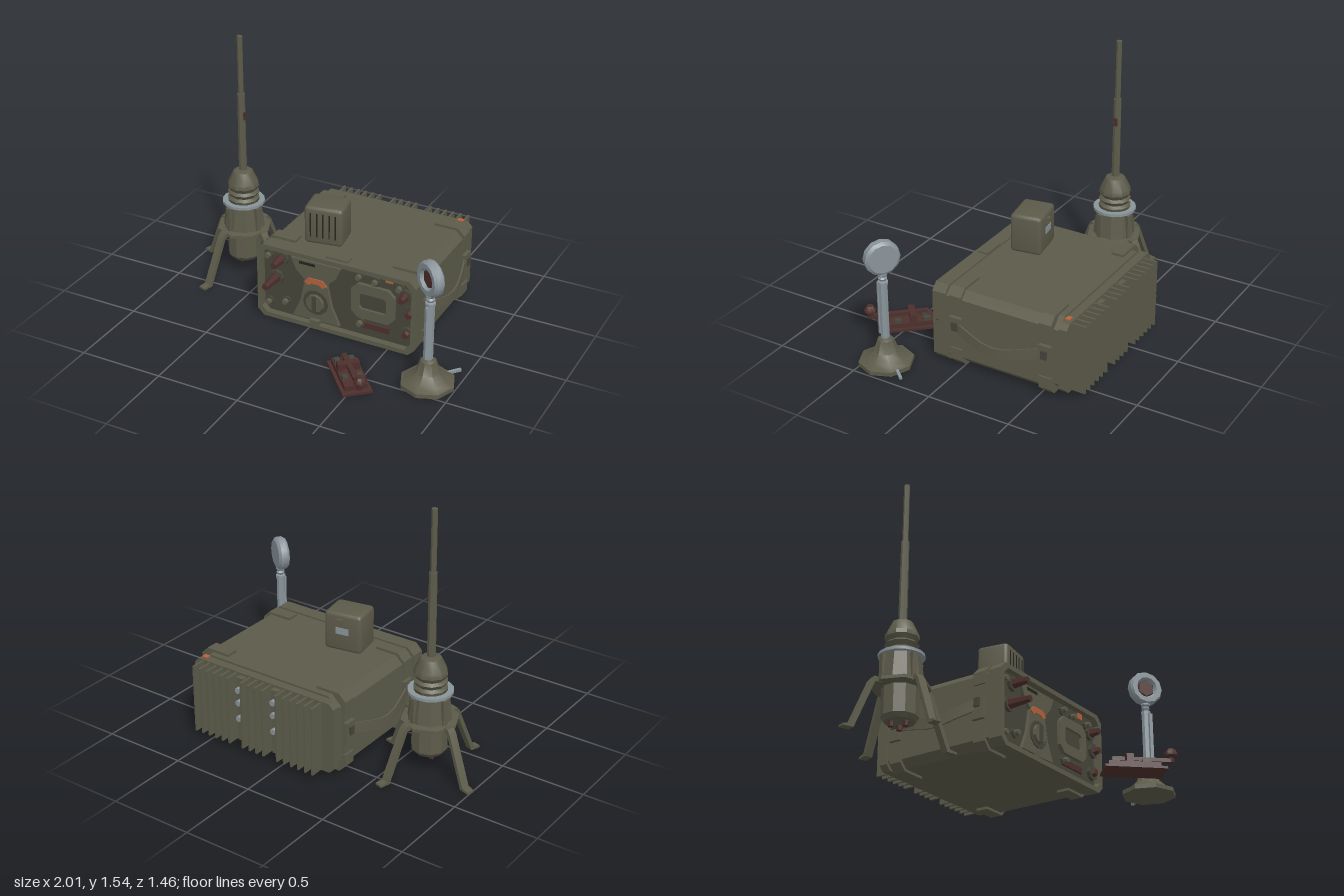
import * as THREE from 'three';
import { toCreasedNormals } from 'three/addons/utils/BufferGeometryUtils.js';
import { RoundedBoxGeometry } from 'three/addons/geometries/RoundedBoxGeometry.js';

const paint = (name, color) => {
  const m = new THREE.MeshStandardMaterial({ color });
  m.name = name;
  return m;
};

export function createModel() {
  const olive = paint('olive', 0x5c5b4a);
  const dark = paint('darkOlive', 0x46453a);
  const brown = paint('redBrown', 0x4c2f2c);
  const grey = paint('steelGrey', 0x89949a);
  const orange = paint('orange', 0xb4623c);
  const black = paint('black', 0x25251f);

  const model = new THREE.Group();
  model.name = 'fieldRadioSet';
  const group = (name, x, y, z, ry = 0) => {
    const g = new THREE.Group();
    g.name = name;
    g.position.set(x, y, z);
    g.rotation.y = ry;
    model.add(g);
    return g;
  };
  const add = (parent, name, geo, mat, x = 0, y = 0, z = 0) => {
    const m = new THREE.Mesh(toCreasedNormals(geo, 0.6), mat);
    m.name = name;
    m.position.set(x, y, z);
    parent.add(m);
    return m;
  };
  const box = (parent, name, mat, w, h, d, x, y, z) => add(parent, name, new THREE.BoxGeometry(w, h, d), mat, x, y, z);
  const lathe = (parent, name, mat, pts, sides, x = 0, y = 0, z = 0) =>
    add(parent, name, new THREE.LatheGeometry(pts.map(p => new THREE.Vector2(p[0], p[1])), sides), mat, x, y, z);
  const poly = pts => new THREE.Shape(pts.map(p => new THREE.Vector2(p[0], p[1])));
  const chamfered = (w, h, c) => {
    const a = w / 2, b = h / 2;
    return poly([[-a + c, -b], [a - c, -b], [a, -b + c], [a, b - c], [a - c, b], [-a + c, b], [-a, b - c], [-a, -b + c]]);
  };
  const extrude = (shape, depth) => new THREE.ExtrudeGeometry(shape, { depth, bevelEnabled: false });

  // Radio housing, centred on its own cross-section
  const radio = group('radio', 0.167, 0.248, 0);
  add(radio, 'housing', extrude(chamfered(0.985, 0.455, 0.045), 0.67), olive, 0, 0, -0.56);
  const rim = chamfered(1.005, 0.475, 0.04);
  rim.holes.push(chamfered(0.95, 0.42, 0.035));
  add(radio, 'frontBezel', extrude(rim, 0.085), olive, 0, 0, 0.1);
  add(radio, 'frontPanel', extrude(chamfered(0.96, 0.43, 0.035), 0.045), dark, 0, 0, 0.1);
  box(radio, 'topClip', olive, 0.14, 0.015, 0.06, 0, 0.24, 0.13);

  // Corner guards, side latches and carrying straps
  for (const sx of [-1, 1]) {
    for (const z of [0, -0.565]) {
      for (const sy of [-1, 1]) {
        const pts = [[0.31, 0.243], [0.46, 0.243], [0.503, 0.2], [0.503, 0.13], [0.48, 0.13], [0.44, 0.19], [0.31, 0.2]];
        add(radio, 'cornerGuard', extrude(poly(pts.map(p => [p[0] * sx, p[1] * sy])), 0.075), olive, 0, 0, z);
      }
      const latchZ = z + 0.035;
      box(radio, 'sideLatch', olive, 0.025, 0.145, 0.075, sx * 0.503, 0, latchZ);
      box(radio, 'latchPin', dark, 0.02, 0.05, 0.035, sx * 0.517, 0.02, latchZ);
    }
    // Strap bows outward and sags between its latches
    const strap = new THREE.BoxGeometry(0.01, 0.065, 0.54, 1, 1, 8);
    const p = strap.attributes.position;
    for (let i = 0; i < p.count; i++) {
      const t = 1 - Math.abs(p.getZ(i)) / 0.27;
      p.setX(i, p.getX(i) + sx * (0.505 + 0.047 * Math.sin(t * Math.PI / 2)));
      p.setY(i, p.getY(i) - 0.06 * Math.min(1, t * 1.2));
    }
    add(radio, 'strap', strap, olive, 0, 0.015, -0.23);
  }

  // Rear plate and heat sink
  add(radio, 'rearPlate', extrude(chamfered(0.95, 0.455, 0.06), 0.045), olive, 0, 0, -0.6);
  add(radio, 'heatSinkBase', extrude(chamfered(0.97, 0.43, 0.03), 0.05), olive, 0, 0, -0.65);
  for (let i = 0; i < 18; i++) {
    if (i === 6 || i === 11) continue;
    box(radio, 'coolingFin', olive, 0.012, 0.415, 0.09, -0.4 + i * 0.0485, 0, -0.69);
  }
  for (const x of [-0.109, 0.134]) {
    box(radio, 'finRib', olive, 0.05, 0.4, 0.03, x, 0, -0.665);
    for (const y of [-0.05, 0.05, 0.13]) {
      const stud = add(radio, 'rearStud', new THREE.CylinderGeometry(0.018, 0.018, 0.03, 8), grey, x, y, -0.69);
      stud.rotation.x = Math.PI / 2;
    }
  }
  box(radio, 'rearMark', orange, 0.035, 0.006, 0.03, 0.42, 0.226, -0.625);

  // Front controls: central raised console with dial
  const console_ = poly([[-0.29, 0.19], [0.03, 0.19], [0, 0.12], [-0.06, 0.06], [-0.03, -0.08], [0.02, -0.19], [-0.28, -0.19],
    [-0.23, -0.08], [-0.2, 0.06], [-0.26, 0.12]]);
  add(radio, 'centreConsole', extrude(console_, 0.02), olive, 0, 0, 0.145);
  const turn = (name, mat, r, d, x, y, sides = 8, r2 = r, z = 0.145) => {
    const k = add(radio, name, new THREE.CylinderGeometry(r2, r, d, sides), mat, x, y, z + d / 2);
    k.rotation.x = Math.PI / 2;
  };
  turn('dialPlate', dark, 0.08, 0.026, -0.13, -0.07, 12);
  turn('dial', olive, 0.062, 0.04, -0.13, -0.07, 10, 0.055);
  box(radio, 'dialGrip', dark, 0.025, 0.1, 0.012, -0.13, -0.07, 0.187);
  const arc = poly([[-0.075, -0.005], [-0.045, 0.026], [0.045, 0.026], [0.075, -0.005], [0.045, -0.022], [0.025, -0.007],
    [-0.025, -0.007], [-0.045, -0.022]]);
  add(radio, 'orangeScale', extrude(arc, 0.006), orange, -0.13, 0.058, 0.165);
  box(radio, 'consoleSlot', black, 0.1, 0.016, 0.006, -0.185, 0.17, 0.166);
  box(radio, 'lowerTab', olive, 0.06, 0.03, 0.03, -0.13, -0.195, 0.175);

  // Right-hand display frame
  const screen = chamfered(0.27, 0.22, 0.04);
  screen.holes.push(chamfered(0.17, 0.1, 0.015));
  add(radio, 'displayFrame', extrude(screen, 0.022), olive, 0.23, 0.02, 0.145);
  add(radio, 'display', extrude(chamfered(0.17, 0.1, 0.015), 0.006), dark, 0.23, 0.02, 0.145);
  box(radio, 'keyStrip', brown, 0.2, 0.035, 0.012, 0.23, -0.14, 0.151);
  box(radio, 'warningPlate', orange, 0.045, 0.04, 0.006, 0.325, 0.195, 0.15);
  for (const [x, y] of [[-0.345, 0.155], [-0.44, 0.16], [-0.44, -0.15], [-0.33, -0.12], [0.14, 0.17], [0.15, -0.13], [0.24, 0.16], [0.39, 0.16]]) {
    turn('knobCollar', dark, 0.03, 0.012, x, y);
    turn('smallKnob', olive, 0.02, 0.035, x, y, 8, 0.016);
  }
  // Sockets and plugs
  for (const [x, y, d] of [[-0.39, 0.025, 0.15], [-0.355, 0.155, 0.11], [0.425, 0.12, 0.075], [0.46, 0.02, 0.05], [0.44, -0.12, 0.04]]) {
    turn('socket', dark, 0.044, 0.02, x, y);
    turn('plug', brown, 0.033, d, x, y, 6, 0.02);
  }

  // Loudspeaker box on top
  const speaker = group('speaker', 0, 0.6, -0.056, 0.165);
  add(speaker, 'speakerCase', new RoundedBoxGeometry(0.23, 0.235, 0.188, 2, 0.022), olive);
  for (let i = -2; i <= 2; i++) box(speaker, 'grilleSlot', black, 0.008, 0.15, 0.006, i * 0.037, 0.005, 0.0935);
  box(speaker, 'backLabel', grey, 0.08, 0.04, 0.006, 0, 0.01, -0.0945);
  box(speaker, 'caseHook', olive, 0.03, 0.03, 0.02, 0.01, 0.07, -0.1);

  // Antenna: base drum, bellows, mast
  const antenna = group('antenna', -0.665, 0, -0.235);
  lathe(antenna, 'lowerDrum', olive, [[0, 0.11], [0.085, 0.11], [0.103, 0.135], [0.103, 0.31]], 10);
  lathe(antenna, 'flange', olive, [[0.09, 0.295], [0.165, 0.3], [0.165, 0.318], [0.12, 0.325]], 8);
  lathe(antenna, 'upperDrum', olive, [[0.127, 0.315], [0.108, 0.48], [0, 0.48]], 10);
  lathe(antenna, 'clampRing', grey, [[0.095, 0.478], [0.128, 0.478], [0.128, 0.495], [0.095, 0.495]], 16);
  lathe(antenna, 'bellows', olive, [[0.09, 0.485], [0.097, 0.51], [0.08, 0.525], [0.097, 0.55], [0.08, 0.565], [0.095, 0.59],
    [0.092, 0.615], [0.058, 0.685], [0.03, 0.695], [0, 0.695]], 10);
  add(antenna, 'mastLower', new THREE.CylinderGeometry(0.023, 0.025, 0.5, 8), olive, 0, 0.935, 0);
  add(antenna, 'mastUpper', new THREE.CylinderGeometry(0.017, 0.017, 0.37, 8), olive, 0, 1.358, 0);
  box(antenna, 'mastMark', brown, 0.006, 0.05, 0.025, 0.021, 1.045, 0);
  for (const [x, z] of [[0, 0.04], [0.035, -0.03], [-0.035, -0.03]])
    add(antenna, 'bottomSocket', new THREE.CylinderGeometry(0.02, 0.016, 0.035, 6), brown, x, 0.1, z);

  // Four folding legs, each a bent strip, with ribs on the drum
  const legSide = poly([[0.12, 0.318], [0.175, 0.325], [0.195, 0.3], [0.31, 0.025], [0.353, 0.018], [0.353, 0.006], [0.292, 0.008], [0.172, 0.295], [0.12, 0.298]]);
  for (let i = 0; i < 4; i++) {
    const leg = new THREE.Group();
    leg.name = 'leg';
    leg.rotation.y = -0.31 + i * Math.PI / 2;
    add(leg, 'legStrip', extrude(legSide, 0.046), olive, 0, 0, -0.023);
    box(leg, 'drumRib', olive, 0.03, 0.15, 0.03, 0.115, 0.395, 0);
    antenna.add(leg);
  }

  // Microphone on a weighted stand
  const mic = group('microphone', 0.843, 0, 0.388);
  lathe(mic, 'standBase', olive, [[0, 0.012], [0.157, 0.012], [0.157, 0.036], [0.115, 0.052], [0.07, 0.095], [0.046, 0.165], [0.025, 0.178], [0, 0.178]], 8);
  const stub = box(mic, 'cableStub', grey, 0.016, 0.016, 0.1, 0.088, 0.032, -0.143);
  stub.rotation.y = -0.7;
  const head = group('microphoneHead', 0.843, 0, 0.388, -0.607);
  add(head, 'stem', new THREE.CylinderGeometry(0.026, 0.026, 0.36, 8), grey, 0, 0.345, 0);
  box(head, 'switchBar', grey, 0.02, 0.32, 0.015, 0.015, 0.35, 0.03);
  lathe(head, 'neck', grey, [[0.03, 0.515], [0.03, 0.53], [0.018, 0.535], [0.026, 0.55], [0.018, 0.56], [0.028, 0.57], [0.028, 0.59]], 8);
  const shell = lathe(head, 'headShell', grey, [[0, -0.032], [0.085, -0.032], [0.102, -0.018], [0.102, 0.02], [0.092, 0.034],
    [0.064, 0.034], [0.05, 0.012], [0, 0.012]], 12, 0, 0.676, 0);
  shell.rotation.x = Math.PI / 2;
  const mesh = add(head, 'micGrille', new THREE.CylinderGeometry(0.05, 0.056, 0.008, 6), brown, 0, 0.676, 0.016);
  mesh.rotation.x = Math.PI / 2;

  // Telegraph key on a base plate
  const key = group('telegraphKey', 0.437, 0, 0.528, 0.733);
  box(key, 'keyPlate', brown, 0.17, 0.014, 0.345, 0, 0.012, 0);
  box(key, 'keyBase', brown, 0.13, 0.03, 0.29, 0, 0.032, -0.005);
  box(key, 'lever', brown, 0.028, 0.022, 0.33, 0, 0.08, 0.045);
  box(key, 'leverBridge', brown, 0.12, 0.03, 0.04, 0, 0.075, -0.03);
  for (const sx of [-1, 1]) {
    box(key, 'bridgePost', brown, 0.025, 0.055, 0.04, sx * 0.05, 0.065, -0.03);
    for (const z of [-0.11, 0.06]) box(key, 'terminal', dark, 0.03, 0.02, 0.04, sx * 0.042, 0.055, z);
  }
  box(key, 'springBlock', dark, 0.035, 0.03, 0.04, 0, 0.06, -0.1);
  lathe(key, 'keyKnob', brown, [[0, 0.07], [0.016, 0.07], [0.018, 0.095], [0.036, 0.11], [0.036, 0.128], [0.02, 0.15], [0, 0.153]], 8, 0, 0, 0.212);

  return model;
}
